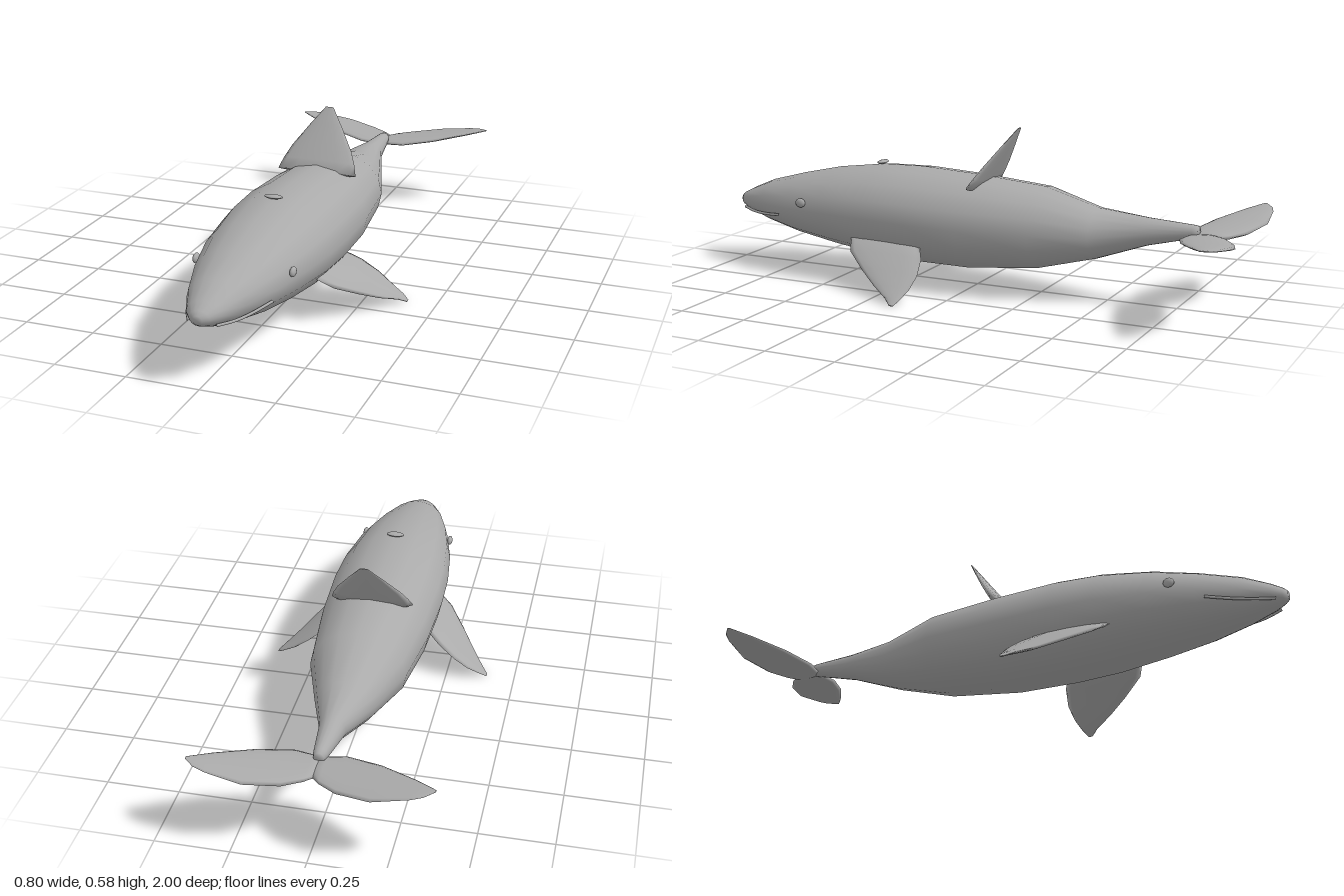
import * as THREE from 'three';

const skin = new THREE.MeshStandardMaterial({ color: 0xaaaaaa });
skin.name = 'grey skin';

const V = (x, y, z) => new THREE.Vector3(x, y, z);

// Skin a list of equal-length rings, closing both ends with a centre point
function loft(name, rings) {
  const n = rings[0].length;
  const pts = rings.flat();
  const centre = (ring) => ring.reduce((s, p) => s.add(p), V(0, 0, 0)).divideScalar(n);
  const last = rings.length - 1;
  const a = pts.push(centre(rings[0])) - 1;
  const b = pts.push(centre(rings[last])) - 1;
  const tris = [];
  for (let j = 0; j < n; j++) {
    const k = (j + 1) % n;
    tris.push([a, k, j], [b, last * n + j, last * n + k]);
    for (let i = 0; i < last; i++) {
      const p = i * n, q = p + n;
      tris.push([p + j, p + k, q + k], [p + j, q + k, q + j]);
    }
  }
  // Turn all faces outwards, whichever way the rings run
  const volume = tris.reduce((s, [i, j, k]) => s + pts[i].dot(pts[j].clone().cross(pts[k])), 0);
  const index = tris.flatMap((t) => (volume < 0 ? [t[0], t[2], t[1]] : t));
  const geo = new THREE.BufferGeometry().setFromPoints(pts);
  geo.setIndex(index);
  geo.computeVertexNormals();
  const mesh = new THREE.Mesh(geo, skin);
  mesh.name = name;
  return mesh;
}

// Lens-shaped fin section between two edge points
function finSection(front, back, normal, thickness, n = 12) {
  return Array.from({ length: n }, (_, i) => {
    const t = (i / n) * Math.PI * 2;
    return front.clone().lerp(back, 0.5 - 0.5 * Math.cos(t))
      .addScaledVector(normal, 0.5 * thickness * Math.sin(t));
  });
}

function blob(name, x, y, z, rx, ry, rz) {
  const mesh = new THREE.Mesh(new THREE.SphereGeometry(1, 14, 10), skin);
  mesh.name = name;
  mesh.position.set(x, y, z);
  mesh.scale.set(rx, ry, rz);
  return mesh;
}

export function createModel() {
  const whale = new THREE.Group();
  whale.name = 'whale';

  // Body: z, top, bottom, half width
  const body = [
    [-0.82, 0.295, 0.255, 0.018], [-0.8, 0.298, 0.25, 0.024], [-0.64, 0.308, 0.21, 0.045],
    [-0.46, 0.325, 0.145, 0.105], [-0.26, 0.383, 0.092, 0.17], [0, 0.405, 0.066, 0.2],
    [0.22, 0.416, 0.068, 0.21], [0.38, 0.412, 0.078, 0.205], [0.56, 0.388, 0.102, 0.183],
    [0.72, 0.352, 0.128, 0.147], [0.86, 0.314, 0.16, 0.1], [0.95, 0.275, 0.19, 0.06],
    [0.985, 0.257, 0.205, 0.035], [1, 0.245, 0.215, 0.016],
  ];
  whale.add(loft('body', body.map(([z, top, bottom, w]) =>
    Array.from({ length: 16 }, (_, i) => {
      const t = (i / 16) * Math.PI * 2;
      return V(w * Math.cos(t), (top + bottom) / 2 + ((top - bottom) / 2) * Math.sin(t), z);
    }))));

  // Dorsal fin: broad across the back, leaning to the tail; y, half width, thickness
  const dorsal = [[0.375, 0.147, 0.038], [0.41, 0.134, 0.034], [0.45, 0.113, 0.028],
    [0.52, 0.062, 0.016], [0.58, 0.015, 0.005]];
  const dorsalNormal = V(0, 0.55, 0.835);
  whale.add(loft('dorsalFin', dorsal.map(([y, w, t]) => {
    const z = -0.025 - (y - 0.375) * 0.66;
    return finSection(V(-w, y, z), V(w, y, z), dorsalNormal, t);
  })));

  // Flipper sections: x, y, front z, back z, thickness
  const flipper = [[0.165, 0.165, 0.43, 0.15, 0.026], [0.22, 0.127, 0.4, 0.115, 0.024],
    [0.28, 0.083, 0.32, 0.1, 0.022], [0.33, 0.046, 0.245, 0.105, 0.018],
    [0.375, 0.019, 0.175, 0.118, 0.011], [0.398, 0.003, 0.148, 0.131, 0.005]];
  // Fluke sections: x, y, front z, back z, thickness
  const fluke = [[0, 0.258, -0.8, -0.9, 0.022], [0.025, 0.26, -0.785, -0.925, 0.025],
    [0.085, 0.264, -0.778, -0.965, 0.026], [0.2, 0.279, -0.818, -1, 0.022],
    [0.32, 0.298, -0.888, -0.988, 0.014], [0.36, 0.304, -0.915, -0.975, 0.009],
    [0.392, 0.309, -0.938, -0.948, 0.004]];

  for (const [side, s] of [['left', 1], ['right', -1]]) {
    const fin = (name, rows, nx, ny) => loft(name, rows.map(([x, y, zf, zb, t]) =>
      finSection(V(s * x, y, zf), V(s * x, y, zb), V(s * nx, ny, 0), t)));
    whale.add(fin(side + 'Flipper', flipper, 0.57, 0.82));
    whale.add(fin(side + 'Fluke', fluke, -0.15, 0.99));

    whale.add(blob(side + 'Eye', s * 0.168, 0.273, 0.64, 0.01, 0.017, 0.02));

    // Thin mouth line along the snout
    const path = new THREE.CatmullRomCurve3([V(s * 0.045, 0.206, 0.965), V(s * 0.08, 0.201, 0.9),
      V(s * 0.108, 0.203, 0.835), V(s * 0.141, 0.212, 0.75)]);
    const mouth = new THREE.Mesh(new THREE.TubeGeometry(path, 12, 0.005, 8), skin);
    mouth.name = side + 'Mouth';
    whale.add(mouth);
  }

  whale.add(blob('blowhole', 0, 0.419, 0.385, 0.033, 0.007, 0.016));
  return whale;
}
